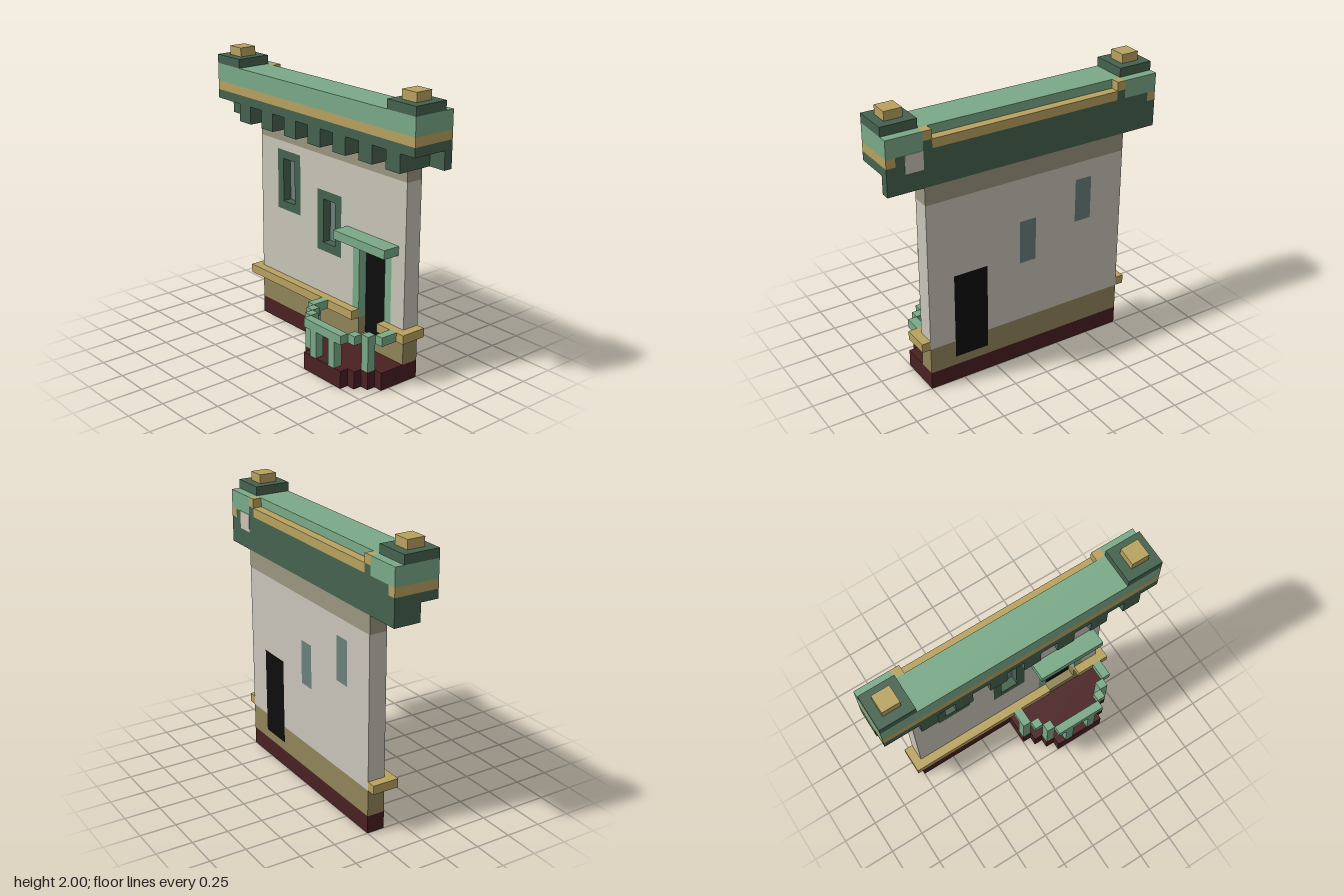
import * as THREE from 'three';

const U = 1 / 16; // one building block

export function createModel() {
  const root = new THREE.Group();
  root.name = 'townhouseFacade';
  const colour = (name, hex) => {
    const m = new THREE.MeshStandardMaterial({ color: hex });
    m.name = name;
    return m;
  };
  const plaster = colour('plaster', 0xc9c5ba);
  const frieze = colour('friezeGrey', 0x9b9780);
  const olive = colour('olivePlaster', 0x92855a);
  const red = colour('darkRedStone', 0x4a2022);
  const green = colour('paleGreen', 0x7aaa88);
  const dark = colour('darkGreen', 0x45624e);
  const gold = colour('goldTrim', 0xb9a260);
  const glass = colour('glass', 0x6b807b);
  const black = colour('doorBlack', 0x0d0d0d);

  // Box from block limits
  const box = (name, mat, x0, x1, y0, y1, z0, z1) => {
    const mesh = new THREE.Mesh(new THREE.BoxGeometry((x1 - x0) * U, (y1 - y0) * U, (z1 - z0) * U), mat);
    mesh.position.set((x0 + x1) / 2 * U, (y0 + y1) / 2 * U, (z0 + z1) / 2 * U);
    mesh.name = name;
    root.add(mesh);
  };
  const outline = (pts, Kind) => new Kind(pts.map(([x, y]) => new THREE.Vector2(x * U, y * U)));
  const rect = ([x0, x1, y0, y1]) => [[x0, y0], [x1, y0], [x1, y1], [x0, y1]];
  // Flat slab extruded along z, with rectangular holes
  const slab = (name, mat, pts, holes, z0, z1) => {
    const shape = outline(pts, THREE.Shape);
    holes.forEach(h => shape.holes.push(outline(rect(h).reverse(), THREE.Path)));
    const geo = new THREE.ExtrudeGeometry(shape, { depth: (z1 - z0) * U, bevelEnabled: false });
    const mesh = new THREE.Mesh(geo, mat);
    mesh.position.z = z0 * U;
    mesh.name = name;
    root.add(mesh);
  };
  // Wall outline with a doorway open at its foot
  const wallWithDoor = (y0, y1, d0, d1, dy) =>
    [[-12, y0], [d0, y0], [d0, dy], [d1, dy], [d1, y0], [12, y0], [12, y1], [-12, y1]];

  // Plinth and stepped balcony floor
  box('plinth', red, -12, 12, 0, 2, -4, -2);
  const floor = [[0, -2], [12, -2], [12, 1], [11, 1], [11, 2], [10, 2], [10, 3], [9, 3], [9, 4],
    [3, 4], [3, 3], [2, 3], [2, 2], [1, 2], [1, 1], [0, 1]];
  const floorGeo = new THREE.ExtrudeGeometry(outline(floor.map(([x, z]) => [x, -z]), THREE.Shape),
    { depth: 2 * U, bevelEnabled: false });
  floorGeo.rotateX(-Math.PI / 2);
  const floorMesh = new THREE.Mesh(floorGeo, red);
  floorMesh.name = 'balconyFloor';
  root.add(floorMesh);

  // Walls: lower olive band, two plaster layers, frieze
  slab('lowerWall', olive, [[-12, 2], [12, 2], [12, 5], [9, 5], [9, 3], [5, 3], [5, 5], [-12, 5]], [], -4, -2);
  const windows = [[-9, 14], [-2, 11]]; // lower left corner of each frame
  const outer = windows.map(([x, y]) => [x, x + 4, y, y + 7]);
  const inner = windows.map(([x, y]) => [x + 1, x + 3, y + 1, y + 6]);
  slab('wallFront', plaster, wallWithDoor(5, 22, 4, 10, 14), outer, -3, -2);
  slab('wallBack', plaster, wallWithDoor(5, 22, 5, 9, 13), inner, -4, -3);
  box('frieze', frieze, -12, 12, 22, 24, -4, -2);

  // Windows
  windows.forEach((w, i) => {
    slab('windowFrame', dark, rect(outer[i]), [inner[i]], -3, -2);
    box('windowPane', glass, ...inner[i], -4, -3);
  });

  // Door, frame and lintel
  box('door', black, 5, 9, 3, 13, -4, -3);
  slab('doorFrame', green, [[4, 5], [5, 5], [5, 13], [9, 13], [9, 5], [10, 5], [10, 14], [4, 14]], [], -3, -2);
  box('doorLintel', green, 3, 11, 14, 15, -2, 0);

  // Gold string course, wrapping round both ends
  box('stringCourse', gold, -13, 5, 5, 6, -2, -1);
  box('stringCourse', gold, 9, 13, 5, 6, -2, -1);
  box('stringCourseEnd', gold, -13, -12, 5, 6, -4, -2);
  box('stringCourseEnd', gold, 12, 13, 5, 6, -4, -2);

  // Balcony rail and posts
  [[0, 1, -1, 1], [1, 2, 1, 2], [2, 3, 2, 3], [3, 9, 3, 4], [9, 10, 2, 3], [10, 11, 1, 2], [11, 12, -1, 1]]
    .forEach(([x0, x1, z0, z1]) => box('balconyRail', green, x0, x1, 5, 6, z0, z1));
  [[0, 0], [2, 2], [4, 3], [7, 3], [10, 1]]
    .forEach(([x, z]) => box('balconyPost', green, x, x + 1, 2, 5, z, z + 1));

  // Cornice with brackets
  box('corniceBack', dark, -12, 14, 24, 26, -4, -2);
  box('corniceLeftEnd', dark, 14, 16, 24, 26, -4, -3);
  box('corniceRightEnd', dark, -16, -12, 24, 26, -4, -1);
  for (let x = -12; x <= 12; x += 4) box('corniceBracket', dark, x, x + 2, 24, 26, -2, 1);
  box('corniceBeam', dark, -16, 16, 26, 27, -4, 1);
  box('corniceCore', dark, -15, 15, 27, 28, -4, 0);
  box('corniceBand', gold, -16, 16, 27, 28, 0, 1);
  box('rearPatch', plaster, 12, 14, 26, 28, -4.05, -3.95);

  // Parapet and gold gutter behind it
  box('parapet', green, -16, 16, 28, 30, -3, 1);
  box('gutter', gold, -11, 11, 28, 29, -4, -3);

  // Mirrored roof ends and finials
  for (const s of [-1, 1]) {
    const pair = (name, mat, a, b, ...rest) => box(name, mat, Math.min(s * a, s * b), Math.max(s * a, s * b), ...rest);
    pair('corniceBandEnd', gold, 15, 16, 27, 28, -4, 0);
    pair('parapetEnd', green, 12, 16, 28, 30, -4, -3);
    pair('gutterBlockBase', dark, 11, 12, 28, 29, -4, -3);
    pair('gutterBlock', gold, 11, 12, 29, 30, -4, -3);
    pair('finialBase', dark, 12, 16, 30, 31, -3, 1);
    pair('finialTop', gold, 13, 15, 31, 32, -2, 0);
  }
  return root;
}
